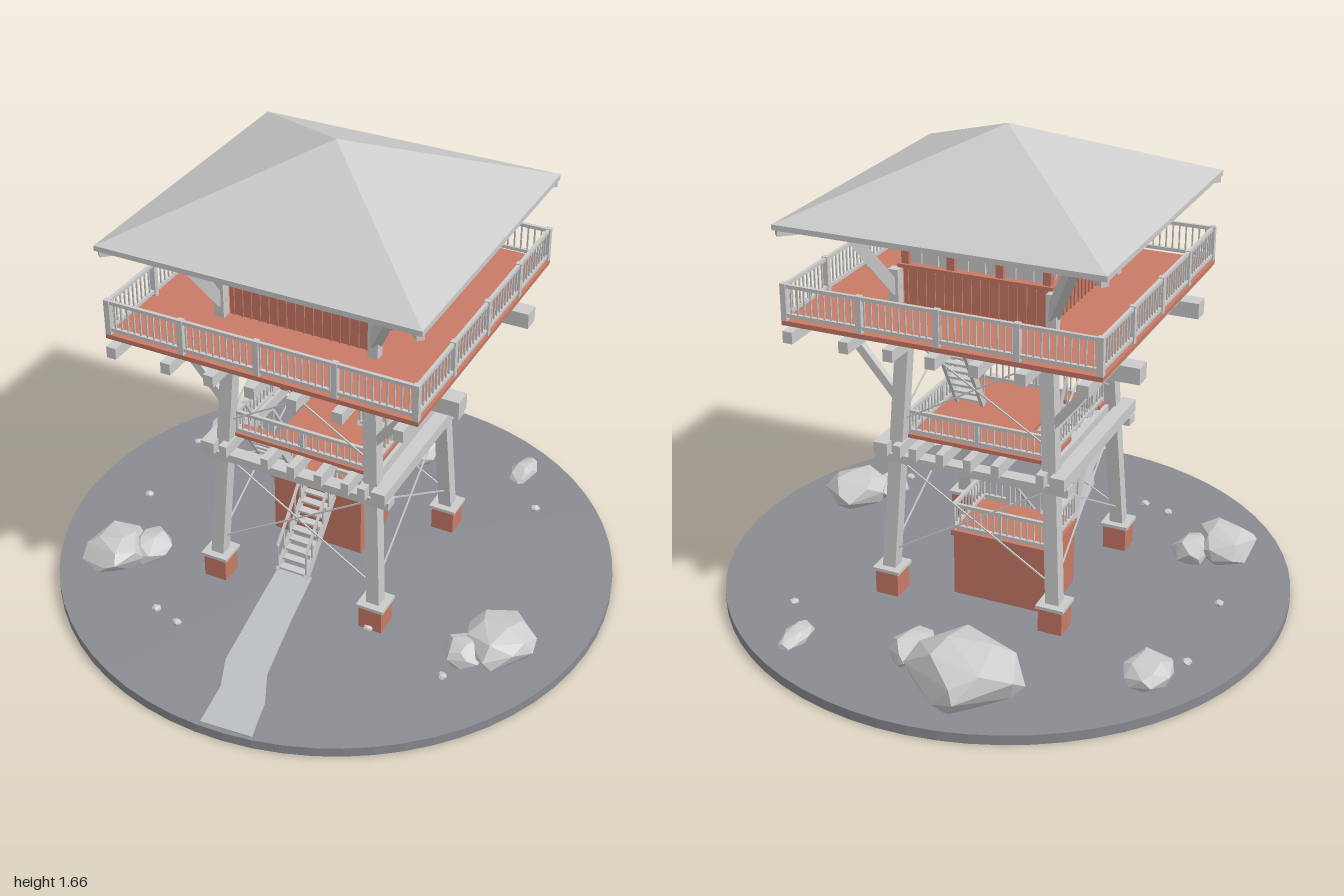
import * as THREE from 'three';
import { mergeGeometries } from 'three/addons/utils/BufferGeometryUtils.js';
import { ConvexGeometry } from 'three/addons/geometries/ConvexGeometry.js';

const material = (color) => new THREE.MeshStandardMaterial({ color, flatShading: true });
const V = (x, y, z) => new THREE.Vector3(x, y, z);
const SIDES = [-1, 1];

// Box from centre and size
const box = (x, y, z, w, h, d) => new THREE.BoxGeometry(w, h, d).translate(x, y, z);

// Square bar between two points
function bar(a, b, w, h = w) {
  const o = new THREE.Object3D();
  o.position.copy(a).add(b).multiplyScalar(0.5);
  o.lookAt(b);
  o.updateMatrix();
  return new THREE.BoxGeometry(w, h, a.distanceTo(b)).applyMatrix4(o.matrix);
}

// Upright box whose top is shifted sideways
function leaningPost(a, b, w) {
  const g = new THREE.BoxGeometry(w, b.y - a.y, w);
  const p = g.attributes.position;
  for (let i = 0; i < p.count; i++) {
    const end = p.getY(i) > 0 ? b : a;
    p.setXYZ(i, p.getX(i) + end.x, end.y, p.getZ(i) + end.z);
  }
  g.computeVertexNormals();
  return g;
}

// Railing along a level line: rails, posts and balusters
function railing(x0, z0, x1, z1, y, h, posts, postWidth) {
  const a = V(x0, y, z0), b = V(x1, y, z1), up = (k) => V(0, h * k, 0);
  const out = [];
  for (const k of [0.15, 0.93]) out.push(bar(a.clone().add(up(k)), b.clone().add(up(k)), 0.012));
  for (let i = 0; i < posts; i++) {
    const p = a.clone().lerp(b, i / (posts - 1));
    out.push(box(p.x, y + h / 2, p.z, postWidth, h, postWidth));
  }
  const n = Math.round(a.distanceTo(b) / 0.024);
  for (let i = 1; i < n; i++) {
    const p = a.clone().lerp(b, i / n);
    out.push(box(p.x, y + h * 0.54, p.z, 0.005, h * 0.78, 0.005));
  }
  return out;
}

const railingSquare = (r, y, h, posts, w) => SIDES.flatMap((s) => [
  ...railing(-r, s * r, r, s * r, y, h, posts, w),
  ...railing(s * r, -r, s * r, r, y, h, posts, w)]);

// Open stair with stringers, treads and handrails, running in z
function stair(x, width, y0, z0, y1, z1, steps) {
  const out = [];
  for (const s of SIDES) {
    const px = x + s * (width / 2 - 0.006);
    out.push(bar(V(px, y0, z0), V(px, y1, z1), 0.012, 0.028));
    out.push(bar(V(px, y0 + 0.11, z0), V(px, y1 + 0.11, z1), 0.009));
    for (let i = 0; i <= 5; i++) {
      const k = i / 5;
      out.push(box(px, y0 + (y1 - y0) * k + 0.055, z0 + (z1 - z0) * k, 0.006, 0.11, 0.006));
    }
  }
  for (let i = 0; i < steps; i++) {
    const k = (i + 0.5) / steps;
    out.push(box(x, y0 + (y1 - y0) * k, z0 + (z1 - z0) * k, width - 0.02, 0.008, 0.03));
  }
  return out;
}

export function createModel() {
  const tower = new THREE.Group();
  tower.name = 'lookoutTower';
  const grey = material(0xcccccc), red = material(0xc87a66);
  const earth = material(0x8a8c92), gravel = material(0xbcc0c5);
  const add = (name, parts, mat = grey) => {
    const mesh = new THREE.Mesh(mergeGeometries(parts), mat);
    mesh.name = name;
    tower.add(mesh);
  };

  // Ground and winding path
  add('ground', [new THREE.CylinderGeometry(1, 1, 0.035, 64).translate(0, 0.0175, 0)], earth);
  const edge = [[-0.13, 0.2], [-0.1, 0.42], [-0.08, 0.56], [-0.06, 0.7], [-0.01, 0.82], [0.0, 0.9], [0.01, 0.985]];
  const far = edge.map(([x, z], i) => [x + 0.135 + 0.008 * i, Math.min(z, 0.97)]).reverse();
  const path = new THREE.Shape([...edge, ...far].map(([x, z]) => new THREE.Vector2(x, z)));
  add('path', [new THREE.ExtrudeGeometry(path, { depth: 0.006, bevelEnabled: false })
    .rotateX(Math.PI / 2).translate(0, 0.039, 0)], gravel);

  // Boulders and pebbles: x, z, half width, half depth, top
  let seed = 7;
  const rand = () => (seed = (seed * 16807) % 2147483647) / 2147483647;
  const boulder = ([x, z, rx, rz, top]) => {
    const points = [], n = 24, ry = (top - 0.035) * 0.62;
    for (let i = 0; i < n; i++) {
      const y = 1 - (2 * i + 1) / n, a = i * 2.4 + rand() * 0.9, r = Math.sqrt(1 - y * y);
      const k = 0.94 + rand() * 0.14;
      points.push(V(x + Math.cos(a) * r * rx * k, top - ry + y * ry * k, z + Math.sin(a) * r * rz * k));
    }
    for (const p of points) p.y = Math.max(p.y, 0.02);
    return new ConvexGeometry(points);
  };
  add('boulders', [
    [-0.18, -0.74, 0.19, 0.185, 0.21], [0.05, -0.65, 0.075, 0.1, 0.13], [0.45, -0.72, 0.045, 0.09, 0.08],
    [-0.69, -0.46, 0.09, 0.1, 0.12], [-0.68, 0.41, 0.12, 0.13, 0.14], [-0.58, 0.33, 0.07, 0.09, 0.12],
    [0.73, 0.23, 0.12, 0.14, 0.145], [0.645, 0.32, 0.08, 0.08, 0.11]].map(boulder));
  add('pebbles', [[0.57, -0.53], [-0.78, -0.33], [-0.77, 0.05], [-0.4, 0.59], [0.62, 0.45], [-0.3, 0.62], [0.3, 0.35]]
    .map(([x, z]) => boulder([x, z, 0.018, 0.016, 0.055])));

  // Four leaning legs on brick footings, with corner struts up to the eaves
  const footings = [], caps = [], legs = [], struts = [], knees = [], hips = [];
  for (const sx of SIDES) for (const sz of SIDES) {
    const at = (x, y, z = x) => V(sx * x, y, sz * z);
    footings.push(box(sx * 0.305, 0.08, sz * 0.305, 0.085, 0.09, 0.085));
    caps.push(box(sx * 0.305, 0.13, sz * 0.305, 0.1, 0.012, 0.1));
    legs.push(leaningPost(at(0.305, 0.13), at(0.25, 1.09), 0.048));
    struts.push(box(sx * 0.275, 1.155, sz * 0.275, 0.035, 0.14, 0.035));
    struts.push(bar(at(0.272, 1.15), at(0.4, 1.395), 0.035, 0.04));
    hips.push(bar(at(0.26, 1.39), at(0.545, 1.398), 0.025, 0.03));
    knees.push(bar(at(0.27, 0.76, 0.275), at(0.46, 0.995, 0.285), 0.028));
  }
  add('footings', footings, red);
  add('footingCaps', caps);
  add('legs', legs);
  add('eaveStruts', struts);
  add('hipRafters', hips);
  add('kneeBraces', knees);

  // Crossed tie rods on all four faces
  const rods = [];
  for (const [y0, y1] of [[0.19, 0.54], [0.68, 0.99]]) {
    const r0 = 0.305 - (y0 - 0.13) * 0.057, r1 = 0.305 - (y1 - 0.13) * 0.057;
    for (const s of SIDES) for (const t of SIDES) {
      rods.push(bar(V(t * r0, y0, s * r0), V(-t * r1, y1, s * r1), 0.005));
      rods.push(bar(V(s * r0, y0, t * r0), V(s * r1, y1, -t * r1), 0.005));
    }
  }
  add('tieRods', rods);

  // Store room with a railed landing on its roof
  add('storeRoom', [box(-0.078, 0.15, -0.122, 0.35, 0.235, 0.235),
    box(-0.078, 0.275, -0.122, 0.365, 0.02, 0.25)], red);
  add('landingRailing', [
    ...railing(-0.25, -0.24, 0.095, -0.24, 0.285, 0.105, 3, 0.01),
    ...railing(-0.25, -0.24, -0.25, 0, 0.285, 0.105, 2, 0.01),
    ...railing(0.095, -0.24, 0.095, 0, 0.285, 0.105, 2, 0.01),
    ...railing(0, 0, 0.095, 0, 0.285, 0.105, 2, 0.01)]);

  // Three flights of stairs
  add('lowerStair', stair(-0.063, 0.125, 0.045, 0.22, 0.275, 0, 9));
  add('middleStair', stair(-0.193, 0.125, 0.275, -0.01, 0.61, 0.2, 10));
  add('upperStair', stair(0.16, 0.11, 0.635, 0.04, 1.085, -0.215, 13));

  // Middle platform with a stairwell
  add('platformBeams', SIDES.map((s) => box(0, 0.555, s * 0.29, 0.7, 0.03, 0.05)));
  add('platformJoists', [-0.32, -0.26, -0.1, 0, 0.1, 0.2, 0.26, 0.32]
    .map((x) => box(x, 0.592, 0, Math.abs(x) > 0.3 ? 0.05 : 0.028, 0.044, 0.67)));
  add('platformFloor', [box(0.07, 0.62, 0, 0.38, 0.014, 0.52),
    box(-0.19, 0.62, 0.23, 0.14, 0.014, 0.06), box(-0.19, 0.62, -0.16, 0.14, 0.014, 0.2)], red);
  add('platformRailing', railingSquare(0.25, 0.625, 0.09, 3, 0.012));

  // Upper deck
  add('deckBeams', SIDES.map((s) => box(0, 1.015, s * 0.29, 1.165, 0.055, 0.062)));
  add('deckJoists', [-0.5, -0.3, -0.145, 0, 0.145, 0.3, 0.5].map((x) => box(x, 1.063, 0, 0.034, 0.04, 1.175)));
  add('deckFloor', [box(0, 1.091, 0, 1.09, 0.016, 1.09)], red);
  add('deckRailing', railingSquare(0.535, 1.098, 0.126, 5, 0.02));

  // Lookout cabin: boarded base, window posts, header and glass
  const walls = [box(0, 1.165, 0, 0.51, 0.135, 0.51), box(0, 1.233, 0, 0.54, 0.012, 0.54),
    box(0, 1.393, 0, 0.57, 0.032, 0.57)];
  const boards = [], muntins = [], teeth = [];
  for (let q = 0; q < 4; q++) {
    const turn = (g) => g.rotateY(q * Math.PI / 2);
    for (const x of [-0.247, -0.085, 0.085]) walls.push(turn(box(x, 1.31, 0.247, 0.026, 0.145, 0.026)));
    for (let i = 0; i < 16; i++) boards.push(turn(box(-0.24 + i * 0.032, 1.162, 0.256, 0.006, 0.125, 0.008)));
    for (let i = 0; i < 12; i++) teeth.push(turn(box(-0.264 + i * 0.048, 1.393, 0.287, 0.016, 0.024, 0.008)));
    for (const x of [-0.165, 0, 0.165]) {
      for (const d of [-0.03, 0.03]) muntins.push(turn(box(x + d, 1.31, 0.247, 0.005, 0.145, 0.008)));
      muntins.push(turn(box(x, 1.31, 0.247, 0.14, 0.005, 0.008)));
    }
  }
  add('cabinWalls', walls, red);
  add('wallBoards', boards, red);
  add('headerTeeth', teeth, red);
  add('windowBars', muntins);
  add('windowGlass', [box(0, 1.31, 0, 0.484, 0.15, 0.484)]);

  // Hipped roof with a thin eave
  add('roof', [new THREE.ConeGeometry(0.555 * Math.SQRT2, 0.245, 4).rotateY(Math.PI / 4).translate(0, 1.5425, 0),
    box(0, 1.412, 0, 1.11, 0.018, 1.11)]);
  return tower;
}
